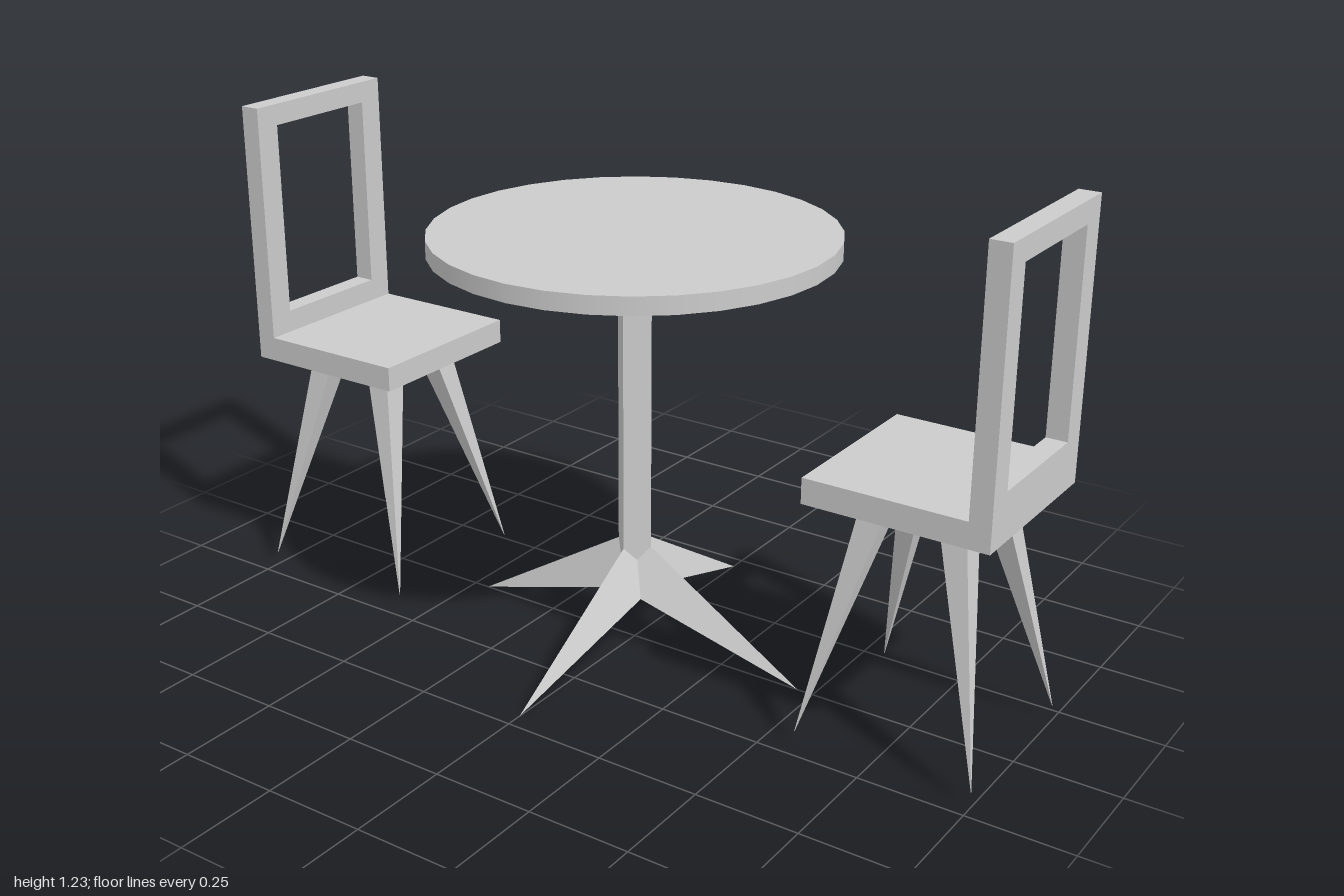
import * as THREE from 'three';

const material = new THREE.MeshStandardMaterial({ color: 0xcccccc, flatShading: true });
const smoothMaterial = new THREE.MeshStandardMaterial({ color: 0xcccccc });

function addMesh(parent, name, geometry, x = 0, y = 0, z = 0, mat = material) {
  const mesh = new THREE.Mesh(geometry, mat);
  mesh.name = name;
  mesh.position.set(x, y, z);
  parent.add(mesh);
  return mesh;
}

// One spike of the table base, pointing along +x; four of them meet in diagonal valleys
function footGeometry() {
  const ridge = [0.047, 0.255, 0], tip = [0.46, 0, 0], centre = [0, 0.14, 0];
  const valley = (s) => [0.0235, 0.222, 0.0235 * s];
  const corner = (s) => [0.055, 0.14, 0.055 * s];
  const faces = [
    ridge, valley(1), corner(1), ridge, corner(1), tip,
    ridge, corner(-1), valley(-1), ridge, tip, corner(-1),
    corner(1), corner(-1), tip, corner(1), centre, corner(-1),
  ];
  const geometry = new THREE.BufferGeometry();
  geometry.setAttribute('position', new THREE.Float32BufferAttribute(faces.flat(), 3));
  geometry.computeVertexNormals();
  return geometry;
}

function createTable() {
  const table = new THREE.Group();
  table.name = 'table';
  addMesh(table, 'tableTop', new THREE.CylinderGeometry(0.472, 0.472, 0.042, 32), 0, 1.011, 0, smoothMaterial);
  // Square post turned corner-on
  addMesh(table, 'tablePost', new THREE.CylinderGeometry(0.047, 0.047, 0.79, 4), 0, 0.595, 0);
  const foot = footGeometry();
  for (let i = 0; i < 4; i++) {
    addMesh(table, 'tableFoot', foot).rotation.y = (i * Math.PI) / 2;
  }
  return table;
}

// Inverted square pyramid whose point is pushed outwards
function chairLegGeometry(sx, sz) {
  const top = 0.59, bottom = 0.035, half = 0.0325;
  const geometry = new THREE.BoxGeometry(1, 1, 1);
  const p = geometry.attributes.position;
  for (let i = 0; i < p.count; i++) {
    const upper = p.getY(i) > 0;
    const offset = upper ? 0.0875 : 0.212;
    const width = upper ? half * 2 : 0.001;
    p.setXYZ(i, sx * offset + p.getX(i) * width, upper ? top : bottom, sz * offset + p.getZ(i) * width);
  }
  geometry.computeVertexNormals();
  return geometry;
}

function rectangle(PathType, x0, y0, x1, y1) {
  return new PathType().moveTo(x0, y0).lineTo(x1, y0).lineTo(x1, y1).lineTo(x0, y1).closePath();
}

// Chair centred on its seat, with the backrest on +x
function createChair(name) {
  const chair = new THREE.Group();
  chair.name = name;
  addMesh(chair, 'seat', new THREE.BoxGeometry(0.38, 0.06, 0.43), -0.025, 0.615, 0);

  // Open frame backrest
  const frame = rectangle(THREE.Shape, -0.215, 0.585, 0.215, 1.227);
  frame.holes.push(rectangle(THREE.Path, -0.152, 0.7, 0.152, 1.175));
  const back = new THREE.ExtrudeGeometry(frame, { depth: 0.05, bevelEnabled: false });
  back.rotateY(Math.PI / 2);
  addMesh(chair, 'backrest', back, 0.165, 0, 0);

  for (const sx of [-1, 1]) {
    for (const sz of [-1, 1]) addMesh(chair, 'chairLeg', chairLegGeometry(sx, sz));
  }
  return chair;
}

export function createModel() {
  const model = new THREE.Group();
  model.name = 'tableAndChairs';
  model.add(createTable());

  const leftChair = createChair('leftChair');
  leftChair.position.x = 0.785;
  const rightChair = createChair('rightChair');
  rightChair.position.x = -0.785;
  rightChair.rotation.y = Math.PI;
  model.add(leftChair, rightChair);
  return model;
}
